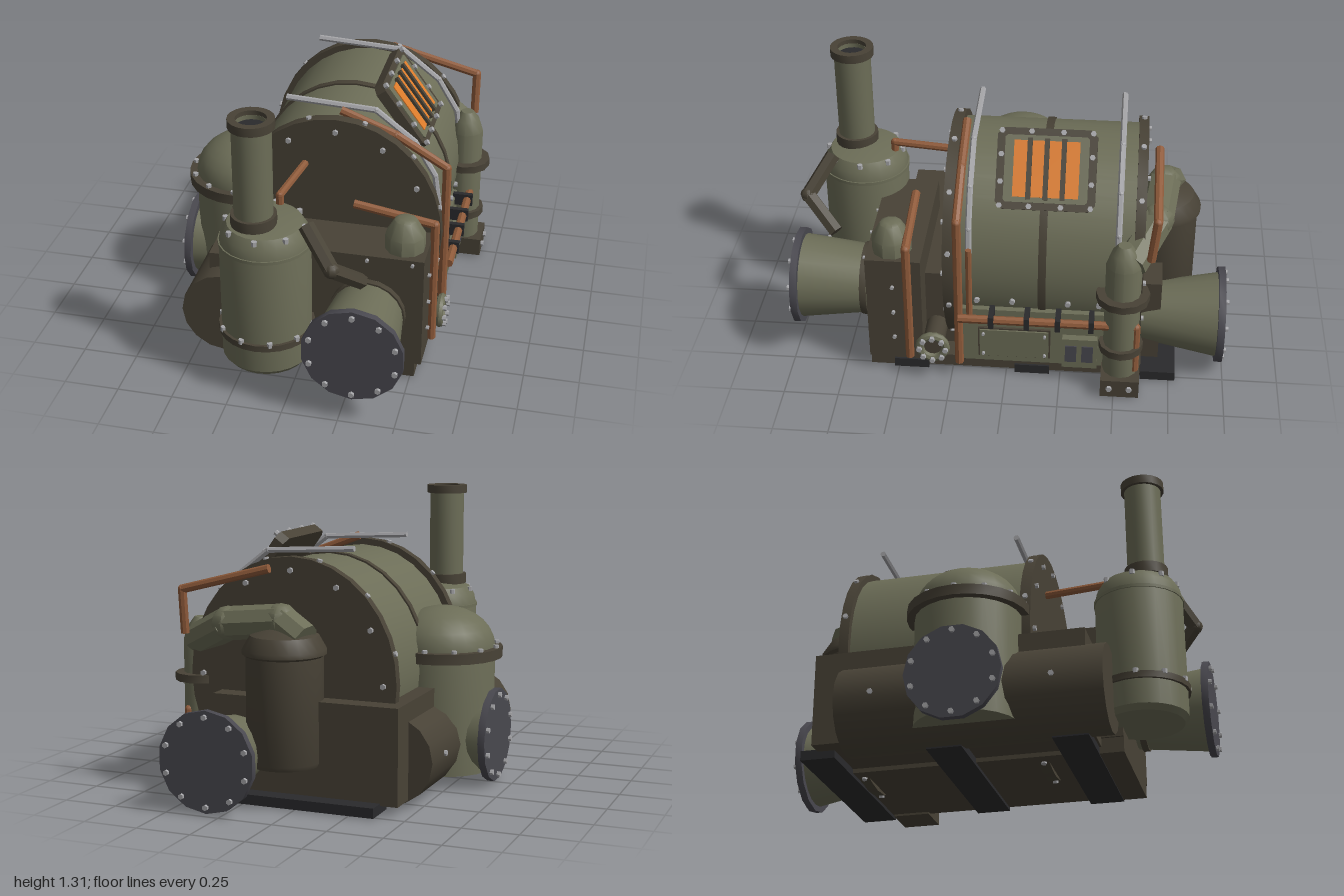
import * as THREE from 'three';
import { toCreasedNormals } from 'three/addons/utils/BufferGeometryUtils.js';

export function createModel() {
  const root = new THREE.Group();
  root.name = 'boilerMachine';
  const mat = (name, color) => new THREE.MeshStandardMaterial({ name, color });
  const olive = mat('olive paint', 0x6c6d57), brown = mat('dark brown iron', 0x484236);
  const slate = mat('slate plate', 0x49484f), black = mat('black iron', 0x2a2a2c);
  const copper = mat('copper', 0x8e5a3a), orange = mat('orange glow', 0xdd7d2c);
  const steel = mat('bright steel', 0xa5a5a8);
  const V = (x, y, z) => new THREE.Vector3(x, y, z);
  const UP = V(0, 1, 0);

  function add(name, geo, m, x = 0, y = 0, z = 0, parent = root) {
    const mesh = new THREE.Mesh(toCreasedNormals(geo, 0.6), m);
    mesh.name = name;
    mesh.position.set(x, y, z);
    parent.add(mesh);
    return mesh;
  }
  // Box given by its limits on each axis
  const box = (name, m, x0, x1, y0, y1, z0, z1) =>
    add(name, new THREE.BoxGeometry(x1 - x0, y1 - y0, z1 - z0), m, (x0 + x1) / 2, (y0 + y1) / 2, (z0 + z1) / 2);
  // Cylinder or cone running from a to b
  function rod(name, m, a, b, r0, r1 = r0, sides = 20, parent = root) {
    const d = b.clone().sub(a);
    const mesh = add(name, new THREE.CylinderGeometry(r1, r0, d.length(), sides), m, 0, 0, 0, parent);
    mesh.position.copy(a).addScaledVector(d, 0.5);
    mesh.quaternion.setFromUnitVectors(UP, d.normalize());
    return mesh;
  }
  // Bent pipe with rounded joints
  function pipe(name, m, r, points, sides = 8) {
    const g = new THREE.Group();
    g.name = name;
    root.add(g);
    const p = points.map(a => V(...a));
    for (let i = 0; i + 1 < p.length; i++) {
      rod(name + 'Run', m, p[i], p[i + 1], r, r, sides, g);
      if (i) add(name + 'Elbow', new THREE.SphereGeometry(r * 1.04, 8, 6), m, p[i].x, p[i].y, p[i].z, g);
    }
  }
  const lathe = (name, m, pts, x, z, sides = 20) =>
    add(name, new THREE.LatheGeometry(pts.map(p => new THREE.Vector2(...p)), sides), m, x, 0, z);
  const bolt = (p, n, r = 0.013) =>
    rod('bolt', steel, p.clone().addScaledVector(n, -0.008), p.clone().addScaledVector(n, 0.014), r, r, 6);
  // Circle of bolts around a centre, spread along u and v and facing n
  function boltRing(c, u, v, n, count, start = 0) {
    for (let i = 0; i < count; i++) {
      const a = start + i * Math.PI * 2 / count;
      bolt(c.clone().addScaledVector(u, Math.cos(a)).addScaledVector(v, Math.sin(a)), n);
    }
  }

  // Oval main drum with end flanges and a middle band
  const ovalDrum = (name, m, rx, ry, z0, z1) =>
    add(name, new THREE.CylinderGeometry(1, 1, z1 - z0, 32).rotateX(Math.PI / 2).scale(rx, ry, 1), m, 0.08, 0.54, (z0 + z1) / 2);
  ovalDrum('drum', olive, 0.46, 0.51, -0.6, 0.25);
  ovalDrum('frontFlange', brown, 0.49, 0.54, 0.23, 0.28);
  ovalDrum('rearFlange', brown, 0.49, 0.54, -0.61, -0.565);
  ovalDrum('drumBand', brown, 0.468, 0.518, -0.18, -0.145);
  for (const s of [1, -1])
    boltRing(V(0.08, 0.54, s > 0 ? 0.28 : -0.61), V(0.43, 0, 0), V(0, 0.48, 0), V(0, 0, s), 12);
  for (const z of [0.255, -0.588]) {
    for (let i = 0; i < 12; i++) {
      const a = i * Math.PI / 6 + 0.26, n = V(Math.cos(a), Math.sin(a), 0);
      bolt(V(0.08 + 0.485 * n.x, 0.54 + 0.535 * n.y, z), n);
    }
  }

  // Base housing, skirt, cross rails and front gearbox
  box('baseHousing', brown, -0.45, 0.42, 0.04, 0.47, -0.7, 0.53);
  box('sideSkirt', olive, 0.3, 0.54, 0.08, 0.37, -0.56, 0.2);
  box('plinth', brown, -0.12, 0.52, 0.02, 0.08, -0.62, 0.62);
  box('frontBox', brown, -0.13, 0.55, 0.08, 0.62, 0.38, 0.63);
  box('frontBoxFoot', brown, -0.12, 0.52, 0.01, 0.08, 0.37, 0.63);
  for (const y of [0.2, 0.34, 0.48]) bolt(V(0.55, y, 0.51), V(1, 0, 0), 0.009);
  for (const x of [0.12, 0.3, 0.5]) bolt(V(x, 0.6, 0.63), V(0, 0, 1), 0.008);
  for (const z of [0.44, -0.12, -0.7]) box('crossRail', black, -0.37, 0.53, 0.005, 0.05, z - 0.08, z + 0.08);

  // Long horizontal side tank
  rod('sideTank', brown, V(-0.36, 0.21, -0.57), V(-0.36, 0.21, 0.62), 0.2, 0.2, 16);
  for (const z of [-0.4, 0.4]) bolt(V(-0.555, 0.22, z), V(-1, 0, 0));

  // Flared duct ending in a bolted plate
  function duct(name, from, n, length, r0, r1, plateR) {
    const end = from.clone().addScaledVector(n, length);
    const face = end.clone().addScaledVector(n, 0.032);
    rod(name + 'Cone', olive, from, end, r0, r1, 20);
    rod(name + 'Plate', slate, end, face, plateR, plateR, 14);
    const u = V(n.z, 0, -n.x).multiplyScalar(plateR * 0.87);
    boltRing(face, u, V(0, plateR * 0.87, 0), n, 10, Math.PI / 10);
  }
  duct('frontDuct', V(0.31, 0.345, 0.62), V(0, 0, 1), 0.34, 0.155, 0.195, 0.225);
  rod('frontDuctCollar', brown, V(0.31, 0.345, 0.65), V(0.31, 0.345, 0.68), 0.17);
  duct('rearDuct', V(0.31, 0.235, -0.58), V(0, 0, -1), 0.38, 0.125, 0.195, 0.225);
  duct('sideDuct', V(-0.42, 0.225, 0), V(-1, 0, 0), 0.228, 0.15, 0.18, 0.215);

  // Domed side vessel
  const dome = [];
  for (let i = 0; i <= 7; i++) dome.push([0.24 * Math.cos(i * Math.PI / 14), 0.63 + 0.18 * Math.sin(i * Math.PI / 14)]);
  dome[7][0] = 0;
  lathe('domeVessel', olive, [[0, 0.06], [0.24, 0.06], [0.24, 0.63], ...dome], -0.41, 0, 24);
  rod('domeFlange', brown, V(-0.41, 0.58, 0), V(-0.41, 0.628, 0), 0.275, 0.275, 24);
  boltRing(V(-0.41, 0.628, 0), V(0.255, 0, 0), V(0, 0, 0.255), UP, 12);

  // Front boiler and chimney
  lathe('frontBoiler', olive, [[0, 0.12], [0.18, 0.12], [0.2, 0.145], [0.2, 0.71], [0.19, 0.76], [0.165, 0.8], [0, 0.83]], -0.13, 0.725, 24);
  rod('boilerBand', brown, V(-0.13, 0.26, 0.725), V(-0.13, 0.29, 0.725), 0.213, 0.213, 24);
  rod('boilerSeam', olive, V(-0.13, 0.7, 0.725), V(-0.13, 0.715, 0.725), 0.205, 0.205, 24);
  boltRing(V(-0.13, 0.29, 0.725), V(0.205, 0, 0), V(0, 0, 0.205), UP, 10);
  boltRing(V(-0.13, 0.785, 0.725), V(0.175, 0, 0), V(0, 0, 0.175), UP, 8);
  lathe('chimney', olive, [[0.085, 0.79], [0.085, 1.29], [0.065, 1.29], [0.065, 1.2]], -0.165, 0.77);
  lathe('chimneyBase', brown, [[0.08, 0.81], [0.1, 0.81], [0.1, 0.86], [0.08, 0.86]], -0.165, 0.77);
  lathe('chimneyRim', brown, [[0.08, 1.27], [0.1, 1.27], [0.1, 1.31], [0.066, 1.31], [0.066, 1.25]], -0.165, 0.77);
  rod('chimneyOpening', black, V(-0.165, 1.24, 0.77), V(-0.165, 1.27, 0.77), 0.068);
  pipe('bentLever', brown, 0.035, [[0.08, 0.87, 0.84], [0.21, 0.73, 0.94], [0.31, 0.6, 0.8]], 6);

  // Small cap on the front box
  lathe('boxCap', olive, [[0.09, 0.61], [0.09, 0.69], [0.05, 0.76], [0.03, 0.77], [0, 0.77]], 0.447, 0.52, 10);

  // Rear tank with overhead duct
  lathe('rearTank', brown, [[0, 0.18], [0.16, 0.18], [0.17, 0.2], [0.17, 0.66], [0.185, 0.67], [0.185, 0.69], [0.15, 0.75], [0.08, 0.78], [0, 0.79]], 0.08, -0.68, 24);
  pipe('overheadDuct', olive, 0.075, [[-0.03, 0.74, -0.72], [0.09, 0.81, -0.69], [0.36, 0.78, -0.66], [0.565, 0.68, -0.55]], 8);

  // Slim side column on a foot
  lathe('sideColumn', olive, [[0.08, 0.08], [0.08, 0.68], [0.06, 0.74], [0.03, 0.78], [0, 0.78]], 0.565, -0.525, 12);
  box('columnFoot', brown, 0.49, 0.67, 0.01, 0.1, -0.615, -0.44);
  for (const z of [-0.57, -0.48]) bolt(V(0.67, 0.06, z), V(1, 0, 0));
  for (const [y, r] of [[0.235, 0.1], [0.51, 0.12]])
    rod('columnRing', brown, V(0.565, y - 0.018, -0.525), V(0.565, y + 0.018, -0.525), r, r, 12);

  // Copper piping
  pipe('boilerPipe', copper, 0.018, [[-0.1, 0.72, 0.58], [-0.1, 0.845, 0.58], [-0.06, 0.845, 0.28]]);
  pipe('boxPipe', copper, 0.02, [[0.2, 0.76, 0.44], [0.565, 0.7, 0.44], [0.565, 0.1, 0.44]]);
  pipe('frontPipe', copper, 0.02, [[0.09, 1.095, 0.21], [0.34, 1.0, 0.21], [0.575, 0.86, 0.21], [0.575, 0.09, 0.21]]);
  pipe('innerPipe', copper, 0.014, [[0.575, 0.72, 0.16], [0.575, 0.36, 0.16]]);
  pipe('rearPipe', copper, 0.02, [[0.16, 1.03, -0.66], [0.585, 0.92, -0.66], [0.585, 0.72, -0.64]]);
  pipe('lowerPipe', copper, 0.02, [[0.6, 0.36, 0.21], [0.6, 0.36, -0.59], [0.6, 0.12, -0.59]]);
  for (const z of [0.06, -0.1, -0.24, -0.39]) box('pipeClamp', black, 0.53, 0.626, 0.33, 0.39, z - 0.012, z + 0.012);

  // Steel handrails over the drum
  for (const z of [0.165, -0.495])
    pipe('handrail', steel, 0.014, [[-0.17, 1.112, z], [0.24, 1.09, z], [0.42, 0.95, z], [0.515, 0.79, z], [0.54, 0.62, z]], 6);
  for (const z of [0.13, -0.03, -0.28, -0.42]) bolt(V(0.53, 0.42, z), V(1, 0, 0));

  // Tilted vent: chamfered frame, glowing slots and bars
  const vent = new THREE.Group();
  vent.name = 'vent';
  vent.position.set(0.325, 0.995, -0.165);
  vent.rotation.z = 0.63;
  root.add(vent);
  function octPlate(name, m, w, h, c, x0, x1) {
    const s = new THREE.Shape([[-w, -h + c], [-w + c, -h], [w - c, -h], [w, -h + c], [w, h - c], [w - c, h], [-w + c, h], [-w, h - c]].map(p => new THREE.Vector2(...p)));
    const g = new THREE.ExtrudeGeometry(s, { depth: x1 - x0, bevelEnabled: false }).rotateY(Math.PI / 2);
    add(name, g, m, x0, 0, 0, vent);
  }
  octPlate('ventFrame', brown, 0.22, 0.18, 0.03, -0.02, 0.03);
  octPlate('ventPanel', olive, 0.185, 0.148, 0.01, 0.03, 0.037);
  add('ventGlow', new THREE.BoxGeometry(0.006, 0.25, 0.29), orange, 0.039, 0, 0, vent);
  for (const z of [-0.075, 0, 0.075]) add('ventBar', new THREE.BoxGeometry(0.02, 0.27, 0.022), brown, 0.045, 0, z, vent);
  for (const z of [-0.2, -0.07, 0.07, 0.2])
    for (const y of [-0.165, 0.165]) rod('ventBolt', steel, V(0.03, y, z), V(0.047, y, z), 0.013, 0.013, 6, vent);
  for (const z of [-0.2, 0.2])
    for (const y of [-0.06, 0.06]) rod('ventBolt', steel, V(0.03, y, z), V(0.047, y, z), 0.013, 0.013, 6, vent);

  // Side panel, switch box and gauge
  box('sidePanelFrame', brown, 0.53, 0.552, 0.115, 0.275, -0.205, 0.125);
  box('sidePanel', olive, 0.53, 0.56, 0.122, 0.268, -0.197, 0.117);
  for (const z of [-0.18, 0.1]) for (const y of [0.14, 0.25]) bolt(V(0.56, y, z), V(1, 0, 0), 0.007);
  box('switchBox', olive, 0.53, 0.575, 0.09, 0.25, -0.42, -0.26);
  for (const z of [-0.3, -0.375]) box('switchWindow', slate, 0.57, 0.58, 0.125, 0.215, z - 0.026, z + 0.026);
  add('gaugeRing', new THREE.TorusGeometry(0.06, 0.02, 8, 14).rotateY(Math.PI / 2), olive, 0.59, 0.18, 0.33);
  rod('gaugeFace', brown, V(0.4, 0.18, 0.33), V(0.59, 0.18, 0.33), 0.05, 0.05, 14);
  boltRing(V(0.608, 0.18, 0.33), V(0, 0.06, 0), V(0, 0, 0.06), V(1, 0, 0), 8);

  return root;
}
